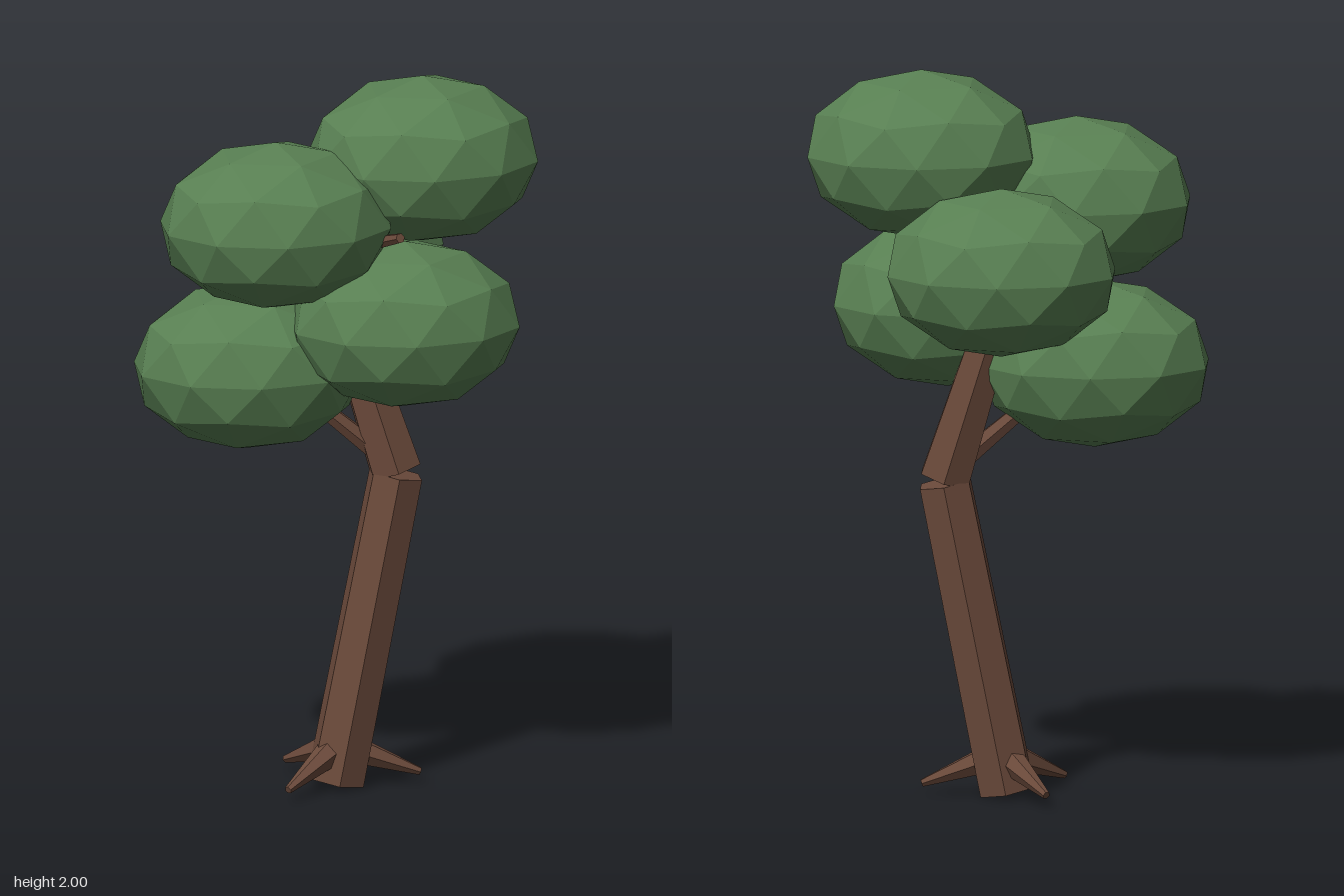
import * as THREE from 'three';

export function createModel() {
  const tree = new THREE.Group();
  tree.name = 'tree';
  const bark = new THREE.MeshStandardMaterial({ color: 0x6b4a3b, flatShading: true });
  bark.name = 'bark brown';
  const leaf = new THREE.MeshStandardMaterial({ color: 0x587f52, flatShading: true });
  leaf.name = 'leaf green';
  const up = new THREE.Vector3(0, 1, 0);

  // tapered low-poly limb between two points
  function limb(name, from, to, r0, r1, sides = 6) {
    const a = new THREE.Vector3(...from);
    const b = new THREE.Vector3(...to);
    const dir = b.clone().sub(a);
    const mesh = new THREE.Mesh(new THREE.CylinderGeometry(r1, r0, dir.length(), sides), bark);
    mesh.position.copy(a).add(b).multiplyScalar(0.5);
    mesh.quaternion.setFromUnitVectors(up, dir.normalize());
    mesh.name = name;
    tree.add(mesh);
  }

  // trunk in two leaning segments
  limb('lowerTrunk', [0, 0.015, 0.03], [0.168, 0.868, 0.008], 0.083, 0.078);
  limb('upperTrunk', [0.167, 0.88, 0.008], [0.0, 1.42, -0.03], 0.077, 0.055);

  // roots spreading from the base
  const rootTips = [[0.232, 0.032, 0.03], [-0.15, 0.032, 0.178], [-0.115, 0.032, -0.143]];
  rootTips.forEach(([x, y, z], i) => {
    const len = Math.hypot(x, z - 0.03);
    const start = [0.01 + x / len * 0.03, 0.105, 0.03 + (z - 0.03) / len * 0.03];
    limb('root' + (i + 1), start, [x, y, z], 0.042, 0.011);
  });

  // branches reaching into the foliage
  limb('lowBranch', [0.12, 0.93, 0.01], [-0.16, 1.17, 0.03], 0.03, 0.018);
  limb('frontBranch', [0.04, 1.25, -0.01], [0.13, 1.32, 0.15], 0.03, 0.018);
  limb('backBranch', [0.01, 1.38, -0.03], [0.0, 1.48, -0.15], 0.03, 0.018);
  limb('leftBranch', [0.0, 1.4, -0.03], [0.2, 1.72, 0.04], 0.035, 0.018);
  limb('rightBranch', [0.0, 1.4, -0.03], [-0.14, 1.58, 0.13], 0.035, 0.018);
  limb('twig', [0.0, 1.5, 0.0], [0.14, 1.615, 0.315], 0.03, 0.014);

  // faceted leaf clumps, with a corner straight up
  const clump = new THREE.IcosahedronGeometry(1, 1);
  clump.rotateX(-Math.atan((1 + Math.sqrt(5)) / 2));
  clump.rotateY(Math.PI / 2);
  clump.scale(0.322, 0.232, 0.257);
  const centres = [
    [0.235, 1.768, 0.055],
    [-0.182, 1.624, 0.164],
    [0.169, 1.336, 0.175],
    [-0.238, 1.196, 0.04],
    [0.006, 1.482, -0.175],
  ];
  centres.forEach((c, i) => {
    const mesh = new THREE.Mesh(clump, leaf);
    mesh.position.set(...c);
    mesh.name = 'leafClump' + (i + 1);
    tree.add(mesh);
  });

  return tree;
}
